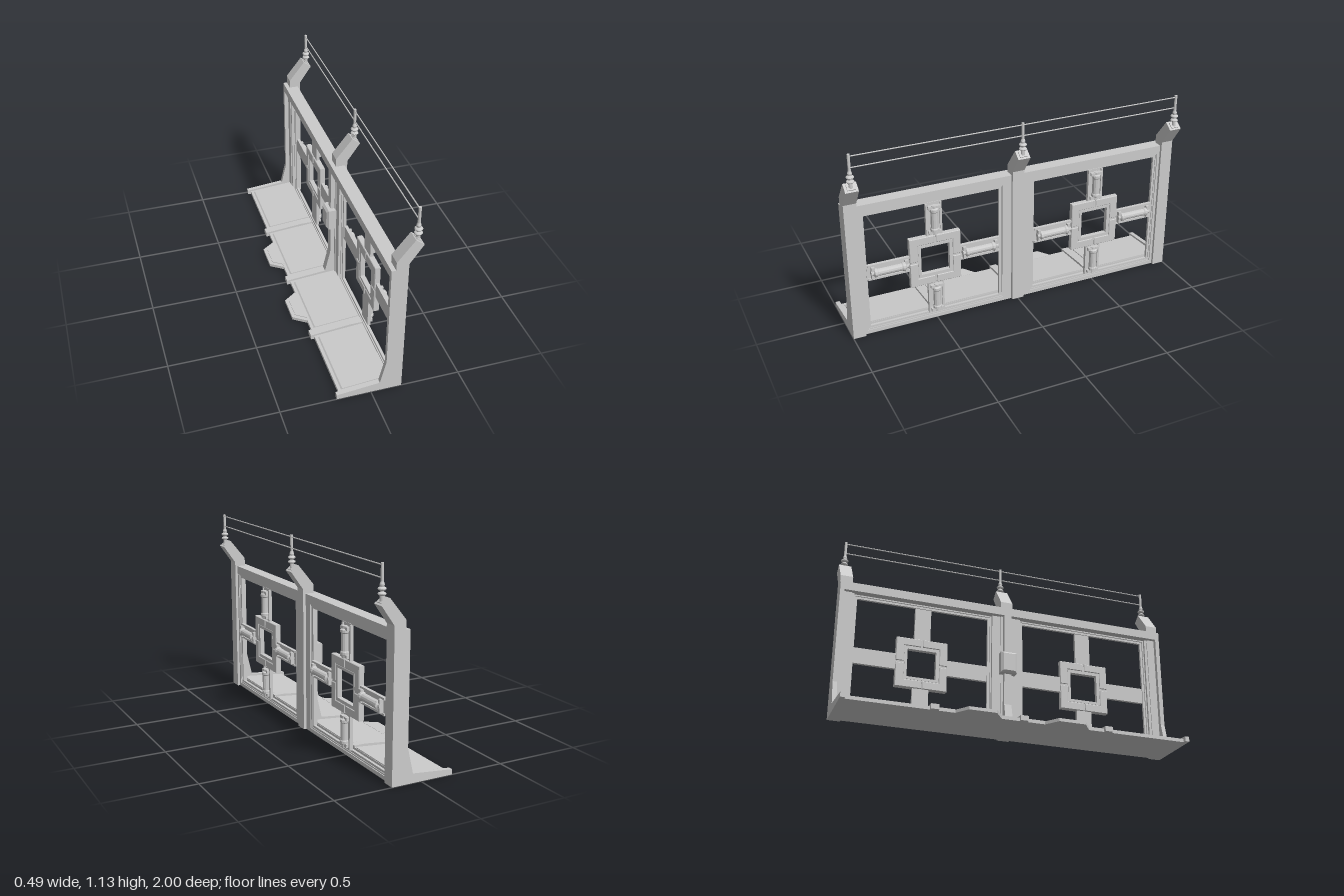
import * as THREE from 'three';

const material = new THREE.MeshStandardMaterial({ color: 0xcccccc, flatShading: true });
const smooth = new THREE.MeshStandardMaterial({ color: 0xcccccc });

const shapeOf = pts => new THREE.Shape(pts.map(p => new THREE.Vector2(p[0], p[1])));
const rect = (a0, b0, a1, b1) => [[a0, b0], [a1, b0], [a1, b1], [a0, b1]];

function add(parent, name, geometry, mat = material) {
  const mesh = new THREE.Mesh(geometry, mat);
  mesh.name = name;
  parent.add(mesh);
  return mesh;
}

function box(parent, name, x0, x1, y0, y1, z0, z1) {
  const g = new THREE.BoxGeometry(x1 - x0, y1 - y0, z1 - z0);
  return add(parent, name, g.translate((x0 + x1) / 2, (y0 + y1) / 2, (z0 + z1) / 2));
}

// Side profile in (x, y), extruded between two z positions
function profile(parent, name, pts, z0, z1) {
  const g = new THREE.ExtrudeGeometry(shapeOf(pts), { depth: z1 - z0, bevelEnabled: false });
  return add(parent, name, g.translate(0, 0, z0));
}

// Outline in (z, y) with holes, extruded between two x positions
function slab(parent, name, pts, holes, x0, x1, bevel = 0) {
  const shape = shapeOf(pts);
  shape.holes = holes.map(shapeOf);
  const g = new THREE.ExtrudeGeometry(shape, {
    depth: x1 - x0 - 2 * bevel, bevelEnabled: bevel > 0, bevelThickness: bevel,
    bevelSize: bevel, bevelOffset: -bevel, bevelSegments: 1,
  });
  return add(parent, name, g.rotateY(-Math.PI / 2).translate(x1 - bevel, 0, 0));
}

// Outline in (x, z), extruded between two heights
function plan(parent, name, pts, y0, y1) {
  const g = new THREE.ExtrudeGeometry(shapeOf(pts), { depth: y1 - y0, bevelEnabled: false });
  return add(parent, name, g.rotateX(Math.PI / 2).translate(0, y1, 0));
}

// One spoke of the window cross, pointing along +y from the centre
function createArm(end, capsuleEnd) {
  const arm = new THREE.Group();
  arm.name = 'crossArm';
  box(arm, 'armPlate', 0.138, 0.15, 0.14, end, -0.047, 0.047);
  for (const s of [-1, 1]) {
    const z = s * 0.041;
    box(arm, 'armRail', 0.145, 0.157, 0.15, end - 0.005, z - 0.006, z + 0.006);
  }
  const a = 0.16, b = capsuleEnd;
  const pts = [[0, a], [0.015, a], [0.015, a + 0.014], [0.025, a + 0.02], [0.025, a + 0.034],
    [0.021, a + 0.04], [0.021, b - 0.04], [0.025, b - 0.034], [0.025, b - 0.02],
    [0.015, b - 0.014], [0.015, b], [0, b]].map(p => new THREE.Vector2(...p));
  add(arm, 'capsule', new THREE.LatheGeometry(pts, 12).translate(0.163, 0, 0));
  for (const y of [a + 0.012, b - 0.012])
    box(arm, 'capsuleClamp', 0.145, 0.172, y - 0.009, y + 0.009, -0.036, 0.036);
  return arm;
}

// Cross with a square ring in the middle, centred on y = 0, z = 0
function createCross() {
  const cross = new THREE.Group();
  cross.name = 'windowCross';
  for (let i = 0; i < 4; i++) {
    const arm = createArm(i % 2 ? 0.395 : 0.35, i % 2 ? 0.375 : 0.335);
    arm.rotation.x = i * Math.PI / 2;
    cross.add(arm);
  }
  const sq = r => rect(-r, -r, r, r);
  slab(cross, 'ringBody', sq(0.148), [sq(0.088)], 0.135, 0.158, 0.003);
  slab(cross, 'ringLip', sq(0.1), [sq(0.084)], 0.133, 0.16);
  // Raised corner pieces with narrow gaps between them, on both faces
  const corner = [[0.006, 0.104], [0.104, 0.104], [0.104, 0.006], [0.15, 0.006], [0.15, 0.15], [0.006, 0.15]];
  for (let i = 0; i < 4; i++) {
    const piece = slab(cross, 'ringCorner', corner, [], 0.13, 0.163, 0.003);
    piece.rotation.x = i * Math.PI / 2;
  }
  return cross;
}

// Stacked-disc insulator with a thin rod
function createInsulator() {
  const g = new THREE.Group();
  g.name = 'insulator';
  const pts = [[0, 0.94], [0.011, 0.94], [0.011, 0.975], [0.019, 0.979], [0.022, 0.984], [0.019, 0.989],
    [0.01, 0.993], [0.01, 0.999], [0.019, 1.003], [0.022, 1.009], [0.019, 1.014], [0.011, 1.019],
    [0.013, 1.03], [0.008, 1.044], [0.008, 1.135], [0, 1.135]].map(p => new THREE.Vector2(...p));
  add(g, 'insulatorBody', new THREE.LatheGeometry(pts, 16));
  return g;
}

export function createModel() {
  const model = new THREE.Group();
  model.name = 'fenceSection';

  // Wall frame with two window openings, and a deeper beam along the top
  const openings = [-0.5, 0.5];
  slab(model, 'wallFrame', rect(-0.99, 0, 0.99, 0.78),
    openings.map(z => rect(z - 0.412, 0.022, z + 0.412, 0.752)), 0.11, 0.156);
  box(model, 'topBeam', 0.081, 0.157, 0.752, 0.802, -0.99, 0.99);
  for (const z of openings) {
    const ring = (name, a, b, x0, x1) => slab(model, name,
      rect(z - 0.412 + a, 0.022 + a, z + 0.412 - a, 0.752 - a),
      [rect(z - 0.412 + b, 0.022 + b, z + 0.412 - b, 0.752 - b)], x0, x1);
    ring('windowTrim', 0, 0.008, 0.125, 0.151);
    ring('innerTrim', 0.008, 0.021, 0.132, 0.147);
    const cross = createCross();
    cross.position.set(0, 0.385, z);
    model.add(cross);
  }

  // Posts with a bent top, each carrying an insulator
  const post = [[0.105, 0], [0.172, 0], [0.172, 0.828], [0.245, 0.932], [0.199, 0.967], [0.105, 0.85]];
  for (const z of [-0.964, 0, 0.964]) {
    profile(model, 'post', post, z - 0.036, z + 0.036);
    const cap = box(model, 'postCap', -0.018, 0.018, -0.004, 0.005, -0.022, 0.022);
    cap.position.set(0.222, 0.95, z);
    cap.rotation.z = -0.65;
    const insulator = createInsulator();
    insulator.position.set(0.223, 0, z);
    model.add(insulator);
  }

  // Wires
  for (const y of [1.06, 1.123])
    add(model, 'wire', new THREE.CylinderGeometry(0.0035, 0.0035, 1.93, 8).rotateX(Math.PI / 2).translate(0.223, y, 0), smooth);

  // Foot brackets that run up the wall as ribs, and low floor ribs
  const bracket = [[0.12, 0], [-0.19, 0], [-0.19, 0.029], [0.049, 0.052], [0.081, 0.19], [0.081, 0.802], [0.12, 0.802]];
  for (const [z0, z1] of [[-1, -0.975], [-0.022, 0.022], [0.975, 1]])
    profile(model, 'footBracket', bracket, z0, z1);
  const rib = [[0.115, 0], [-0.19, 0], [-0.19, 0.029], [0.049, 0.052], [0.115, 0.052]];
  for (const z of [-0.5, 0.5]) profile(model, 'floorRib', rib, z - 0.023, z + 0.023);

  // Floor plates with slightly raised panels
  const plate = [[0.115, 0], [-0.17, 0], [-0.17, 0.02], [0.115, 0.043]];
  const panel = [[0.112, 0.01], [-0.15, 0.01], [-0.154, 0.021], [-0.146, 0.027], [0.112, 0.048]];
  for (const [z0, z1] of [[-0.98, -0.52], [-0.48, -0.02], [0.02, 0.48], [0.52, 0.98]]) {
    profile(model, 'floorPlate', plate, z0, z1);
    profile(model, 'floorPanel', panel, z0 + 0.022, z1 - 0.022);
  }

  // Tapered tabs on the floor edge
  for (const z of [-0.255, 0.255]) {
    const tab = (w, wide, x) => [[-0.16, z - wide], [-0.17, z - wide], [x, z - w], [x, z + w], [-0.17, z + wide], [-0.16, z + wide]];
    plan(model, 'floorTab', tab(0.077, 0.13, -0.245), 0, 0.018);
    plan(model, 'floorTabPanel', tab(0.065, 0.105, -0.225), 0.01, 0.022);
  }

  // Control box clamped around the rear rib of the middle post
  slab(model, 'controlBox', rect(-0.048, 0.378, 0.048, 0.507), [], 0.05, 0.114, 0.012);
  return model;
}
